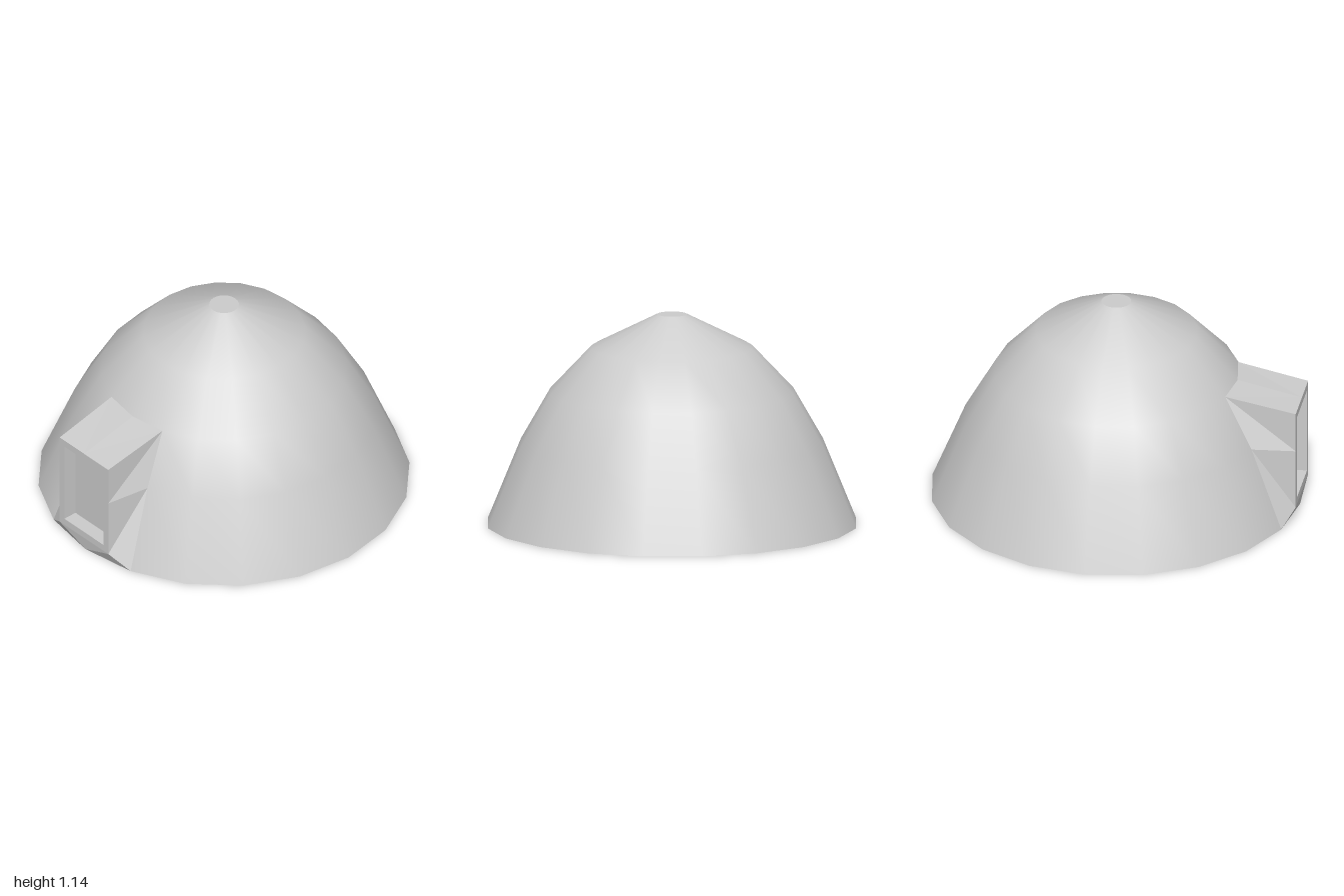
import * as THREE from 'three';

const SEG = 20;
const STEP = (Math.PI * 2) / SEG;
const RINGS = [[1, 0], [0.82, 0.44], [0.66, 0.72], [0.435, 0.96], [0.08, 1.14]];
const PORCH_ANGLE = THREE.MathUtils.degToRad(-40);
const START = PORCH_ANGLE + STEP; // the last two segments face the porch

const material = new THREE.MeshStandardMaterial({ color: 0xcccccc });
const flat = new THREE.MeshStandardMaterial({ color: 0xcccccc, flatShading: true });

function lathe(points) {
  return new THREE.LatheGeometry(points.map(([r, y]) => new THREE.Vector2(r, y)), SEG, START);
}

function named(name, geometry, mat) {
  const mesh = new THREE.Mesh(geometry, mat);
  mesh.name = name;
  return mesh;
}

// Smooth dome wall, left open where the porch joins its two lowest bands
function domeWall() {
  const geo = lathe(RINGS);
  const bands = RINGS.length - 1;
  const kept = Array.from(geo.index.array).filter((_, k) => {
    const cell = Math.floor(k / 6);
    return !(Math.floor(cell / bands) >= SEG - 2 && cell % bands < 2);
  });
  geo.setIndex(kept);
  return geo;
}

// Porch faces run from the dome's edge loops to a flat front rectangle
const FRONT_Z = 1.01, HALF_W = 0.195, Y0 = 0.08, Y1 = 0.42, Y2 = 0.645;

function porchShell() {
  const dome = (i) => [RINGS[i][0] * Math.sin(STEP), RINGS[i][1], RINGS[i][0] * Math.cos(STEP)];
  const domeMid = (i) => [0, RINGS[i][1], RINGS[i][0]];
  const front = (y) => [HALF_W, y, FRONT_Z];
  const frontMid = (y) => [0, y, FRONT_Z];
  const quads = [
    [front(Y0), dome(0), dome(1), front(Y1)],       // lower side
    [front(Y1), dome(1), dome(2), front(Y2)],       // upper side
    [frontMid(Y2), front(Y2), dome(2), domeMid(2)], // roof half
    [domeMid(0), dome(0), front(Y0), frontMid(Y0)], // underside half
  ];
  const pos = [];
  for (const s of [1, -1]) {
    for (const q of quads) {
      for (const tri of [[0, 1, 2], [0, 2, 3]]) {
        const order = s > 0 ? tri : [...tri].reverse();
        for (const i of order) pos.push(q[i][0] * s, q[i][1], q[i][2]);
      }
    }
  }
  const geo = new THREE.BufferGeometry();
  geo.setAttribute('position', new THREE.Float32BufferAttribute(pos, 3));
  geo.computeVertexNormals();
  return geo;
}

// Door frame with a rectangular recess
const OPEN_W = 0.157, OPEN_Y0 = 0.12, OPEN_Y1 = 0.605, DEPTH = 0.08;

function rectangle(path, w, y0, y1) {
  path.moveTo(-w, y0);
  path.lineTo(w, y0);
  path.lineTo(w, y1);
  path.lineTo(-w, y1);
  path.closePath();
  return path;
}

function doorFrame() {
  const shape = rectangle(new THREE.Shape(), HALF_W, Y0, Y2);
  shape.holes.push(rectangle(new THREE.Path(), OPEN_W, OPEN_Y0, OPEN_Y1));
  return new THREE.ExtrudeGeometry(shape, { depth: DEPTH, bevelEnabled: false })
    .translate(0, 0, FRONT_Z - DEPTH);
}

export function createModel() {
  const model = new THREE.Group();
  model.name = 'domeHut';

  const [topR, topY] = RINGS[RINGS.length - 1];
  model.add(
    named('domeWall', domeWall(), material),
    named('domeCap', lathe([[topR, topY], [0, topY]]), material),
    named('base', lathe([[0, 0], [1, 0]]), material),
  );

  const porch = new THREE.Group();
  porch.name = 'porch';
  porch.rotation.y = PORCH_ANGLE;
  const panel = new THREE.PlaneGeometry(OPEN_W * 2, OPEN_Y1 - OPEN_Y0)
    .translate(0, (OPEN_Y0 + OPEN_Y1) / 2, FRONT_Z - DEPTH);
  porch.add(
    named('porchShell', porchShell(), flat),
    named('doorFrame', doorFrame(), flat),
    named('doorPanel', panel, flat),
  );
  model.add(porch);
  return model;
}
